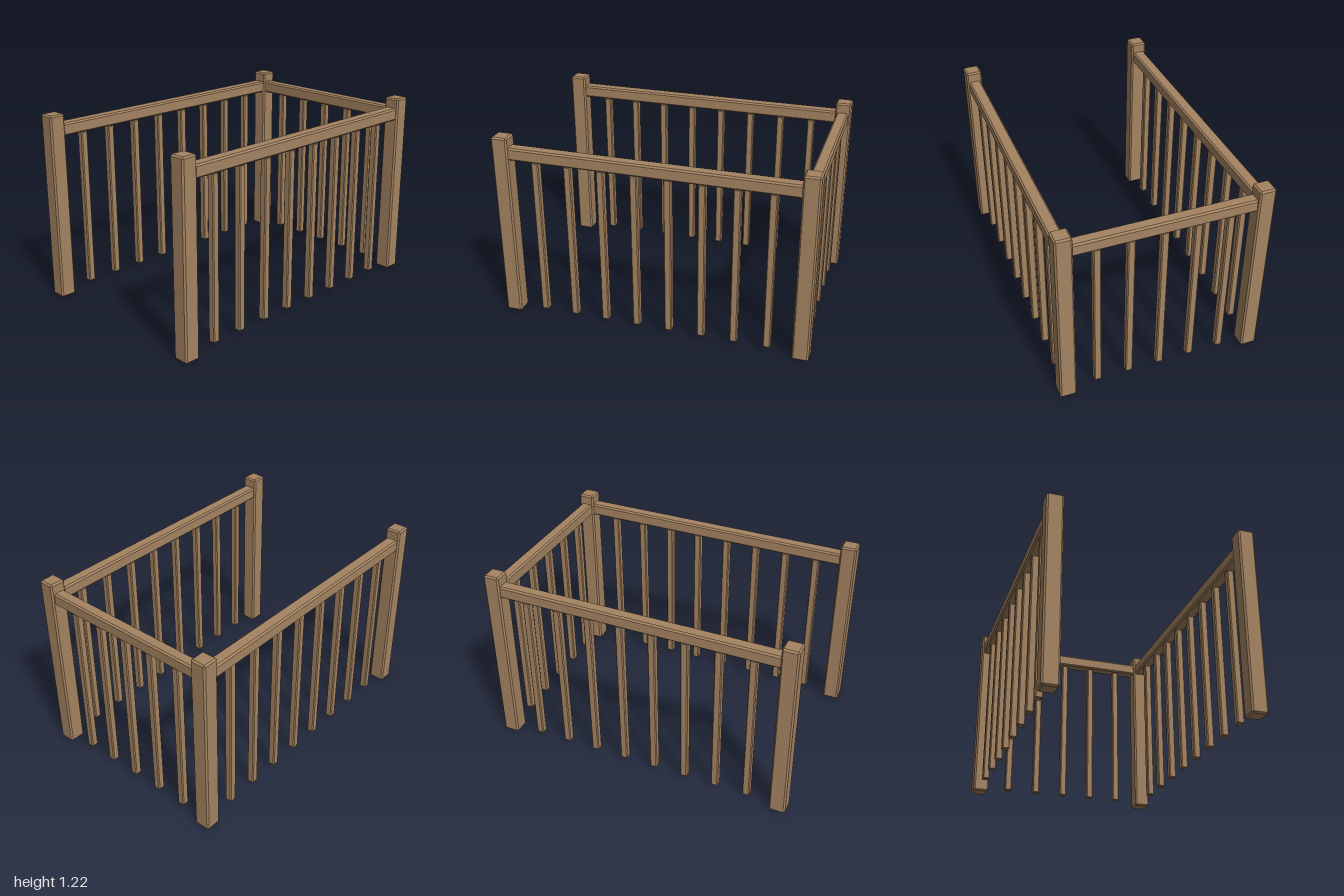
import * as THREE from 'three';
import { ConvexGeometry } from 'three/addons/geometries/ConvexGeometry.js';

// Box of full size w, h, d with every edge chamfered by c
function chamferBox(w, h, d, c) {
  const half = [w / 2, h / 2, d / 2];
  const points = [];
  for (let axis = 0; axis < 3; axis++) {
    for (const sx of [-1, 1]) for (const sy of [-1, 1]) for (const sz of [-1, 1]) {
      const p = half.map((v, i) => (i === axis ? v : v - c));
      points.push(new THREE.Vector3(sx * p[0], sy * p[1], sz * p[2]));
    }
  }
  return new ConvexGeometry(points);
}

export function createModel() {
  const model = new THREE.Group();
  model.name = 'railing';
  const wood = new THREE.MeshStandardMaterial({ name: 'wood', color: 0xa58461 });

  const add = (name, geometry, x, y, z) => {
    const mesh = new THREE.Mesh(geometry, wood);
    mesh.name = name;
    mesh.position.set(x, y, z);
    model.add(mesh);
  };

  const postX = 0.948, postZ = 0.606, postHeight = 1.217, railY = 1.112;
  const post = chamferBox(0.104, postHeight, 0.104, 0.01);
  const longRail = chamferBox(2 * postX, 0.08, 0.08, 0.01);
  const sideRail = chamferBox(0.076, 0.08, 2 * postZ, 0.01);
  const baluster = chamferBox(0.046, 1.038, 0.046, 0.006);
  const balusterY = 0.031 + 1.038 / 2;

  // Front and back: two posts, a rail and eight balusters each
  for (const [side, z] of [['front', postZ], ['back', -postZ]]) {
    add(`${side}LeftPost`, post, postX, postHeight / 2, z);
    add(`${side}RightPost`, post, -postX, postHeight / 2, z);
    add(`${side}Rail`, longRail, 0, railY, z);
    for (let i = 0; i < 8; i++) add(`${side}Baluster`, baluster, (i - 3.5) * 0.21, balusterY, z);
  }

  // Closed end: a rail and five balusters
  add('endRail', sideRail, 0.945, railY, 0);
  for (let i = 0; i < 5; i++) add('endBaluster', baluster, 0.945, balusterY, (i - 2) * 0.203);

  return model;
}
